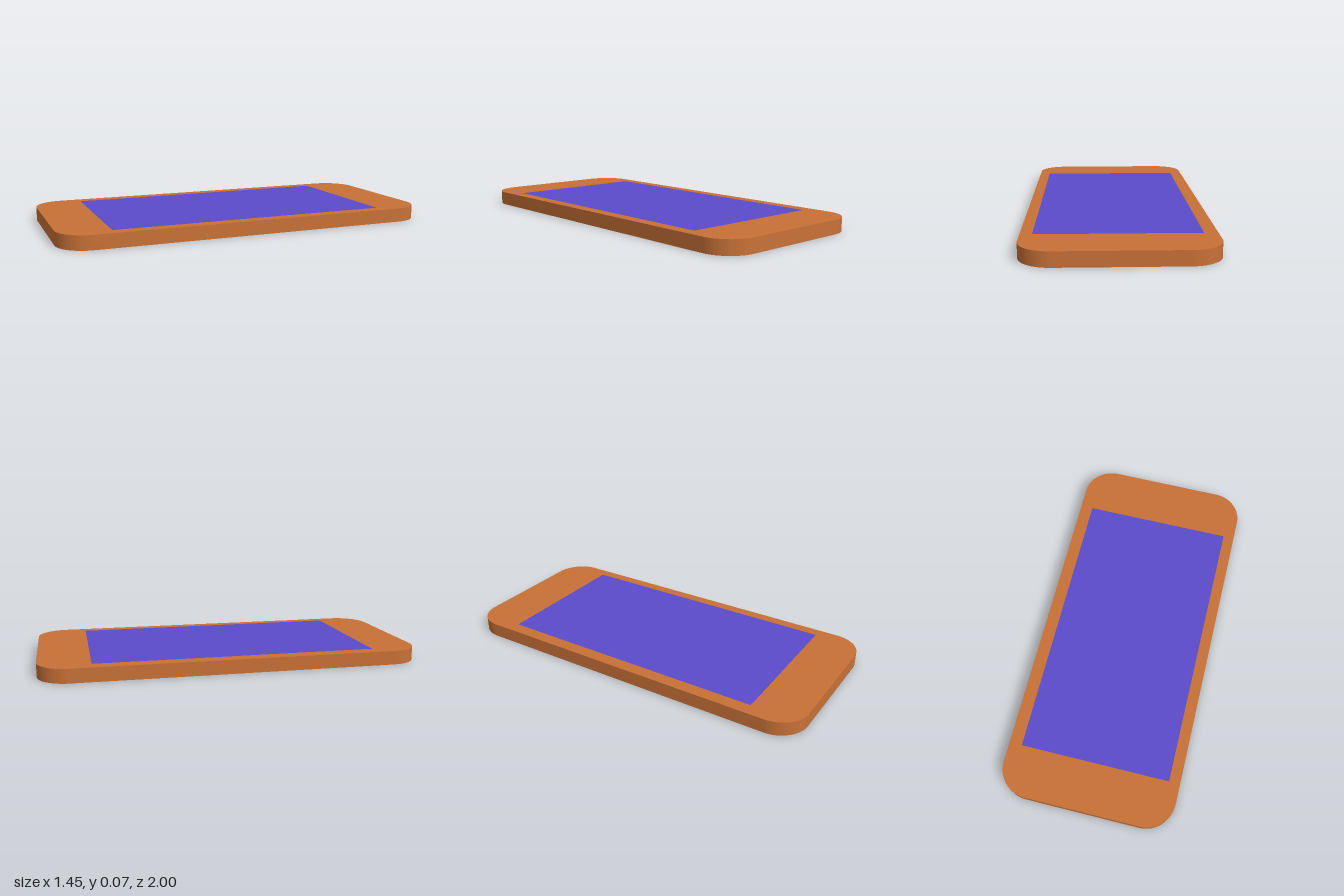
import * as THREE from 'three';
import { toCreasedNormals } from 'three/addons/utils/BufferGeometryUtils.js';

const WIDTH = 0.88, LENGTH = 1.9, HEIGHT = 0.07, RADIUS = 0.15;

// Rounded rectangle centred on the origin
function roundedRect(w, l, r) {
  const a = w / 2 - r, b = l / 2 - r, s = new THREE.Shape();
  s.absarc(a, b, r, 0, Math.PI / 2);
  s.absarc(-a, b, r, Math.PI / 2, Math.PI);
  s.absarc(-a, -b, r, Math.PI, Math.PI * 1.5);
  s.absarc(a, -b, r, Math.PI * 1.5, Math.PI * 2);
  s.closePath();
  return s;
}

export function createModel() {
  const phone = new THREE.Group();
  phone.name = 'phone';

  // Slab body with rounded corners
  const slab = new THREE.ExtrudeGeometry(roundedRect(WIDTH, LENGTH, RADIUS), {
    depth: HEIGHT, bevelEnabled: false, curveSegments: 16,
  }).rotateX(-Math.PI / 2);
  const body = new THREE.Mesh(
    toCreasedNormals(slab, 0.6),
    new THREE.MeshStandardMaterial({ color: 0xc87137 }),
  );
  body.name = 'body';

  // Flat display just above the top face
  const screen = new THREE.Mesh(
    new THREE.PlaneGeometry(0.76, 1.4).rotateX(-Math.PI / 2),
    new THREE.MeshStandardMaterial({ color: 0x5b4bcb }),
  );
  screen.name = 'screen';
  screen.position.set(0.004, HEIGHT + 0.001, 0.004);

  phone.add(body, screen);
  // The device lies turned on the ground
  phone.rotation.y = -THREE.MathUtils.degToRad(22.6);

  const model = new THREE.Group();
  model.add(phone);
  return model;
}
